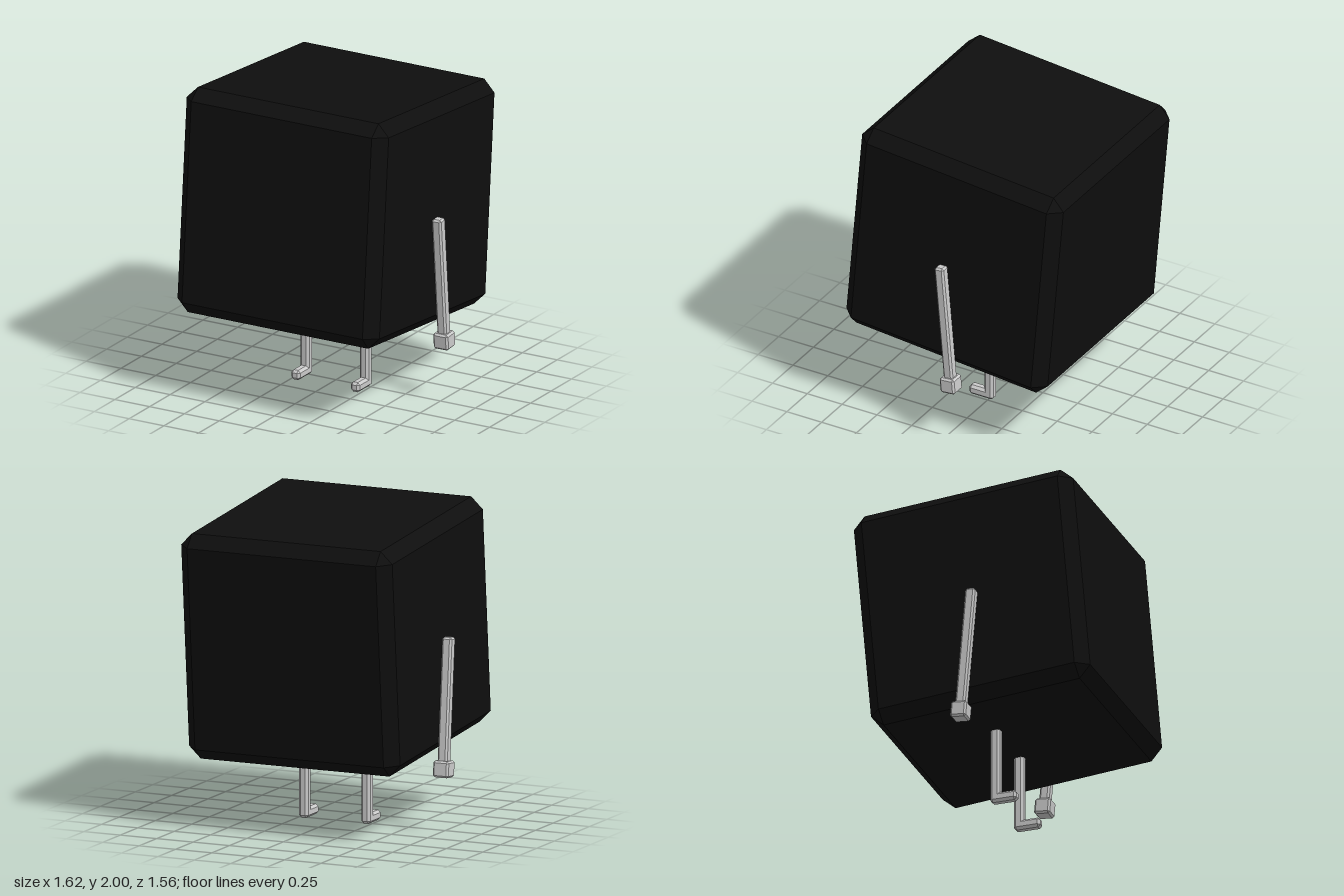
import * as THREE from 'three';
import { ConvexGeometry } from 'three/addons/geometries/ConvexGeometry.js';

const black = new THREE.MeshStandardMaterial({ color: 0x0e0e0e, flatShading: true });
const grey = new THREE.MeshStandardMaterial({ color: 0xcccccc, flatShading: true });

// Box with every edge and corner chamfered by b
function chamferBox(name, w, h, d, b, material) {
  const half = [w / 2, h / 2, d / 2];
  const points = [];
  for (const sx of [-1, 1]) for (const sy of [-1, 1]) for (const sz of [-1, 1]) {
    for (let full = 0; full < 3; full++) {
      const [x, y, z] = half.map((v, axis) => (axis === full ? v : v - b));
      points.push(new THREE.Vector3(sx * x, sy * y, sz * z));
    }
  }
  const mesh = new THREE.Mesh(new ConvexGeometry(points), material);
  mesh.name = name;
  return mesh;
}

export function createModel() {
  const model = new THREE.Group();
  model.name = 'cubeFigure';

  // Cube body, leaning back
  const body = chamferBox('body', 1.45, 1.45, 1.45, 0.077, black);
  body.position.y = 1.22;
  body.rotation.x = -0.087;
  model.add(body);

  for (const [side, s] of [['left', 1], ['right', -1]]) {
    // Arm with a block hand, swung slightly back
    const arm = new THREE.Group();
    arm.name = side + 'Arm';
    const upper = chamferBox(side + 'ArmBar', 0.066, 0.8, 0.066, 0.012, grey);
    upper.position.y = -0.4;
    const hand = chamferBox(side + 'Hand', 0.106, 0.104, 0.104, 0.012, grey);
    hand.position.y = -0.823;
    arm.add(upper, hand);
    arm.position.set(s * 0.757, 1.22, 0.037);
    arm.rotation.x = 0.087;
    model.add(arm);

    // Leg with a forward-pointing foot
    const leg = new THREE.Group();
    leg.name = side + 'Leg';
    const shin = chamferBox(side + 'Shin', 0.064, 0.53, 0.064, 0.016, grey);
    shin.position.y = 0.268;
    const foot = chamferBox(side + 'Foot', 0.064, 0.064, 0.172, 0.016, grey);
    foot.position.set(0, 0.035, 0.055);
    leg.add(shin, foot);
    leg.position.x = s * 0.214;
    model.add(leg);
  }
  return model;
}
